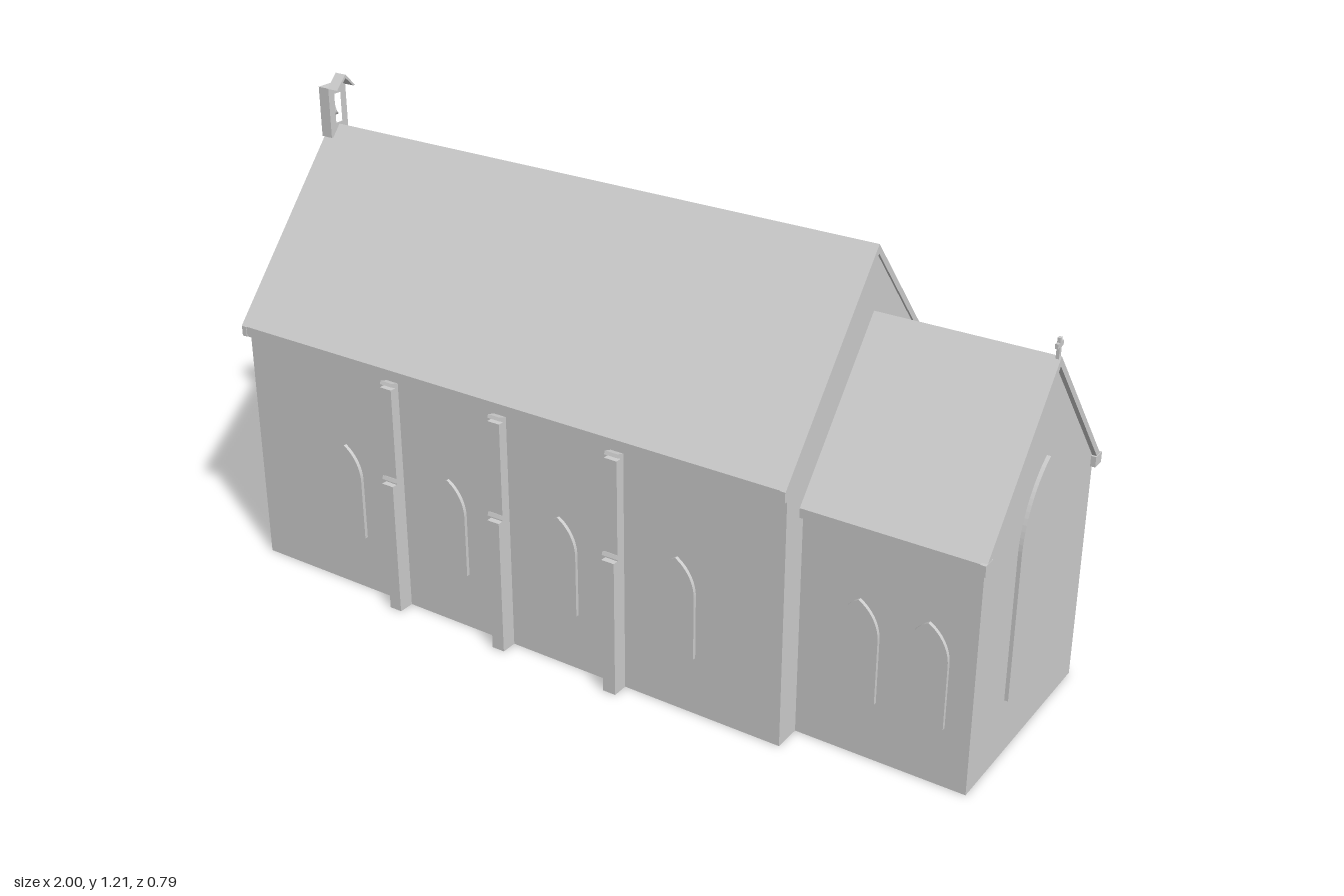
import * as THREE from 'three';

const stone = new THREE.MeshStandardMaterial({ color: 0xcccccc });
stone.name = 'paleStone';

function add(parent, geometry, name) {
  const mesh = new THREE.Mesh(geometry, stone);
  mesh.name = name;
  parent.add(mesh);
  return mesh;
}

// Extrudes a (z, y) profile along x from x0 to x1
function extrudeX(points, x0, x1, hole) {
  const shape = new THREE.Shape(points.map(([z, y]) => new THREE.Vector2(-z, y)));
  if (hole) shape.holes.push(new THREE.Path(hole.map(([z, y]) => new THREE.Vector2(-z, y))));
  const g = new THREE.ExtrudeGeometry(shape, { depth: x1 - x0, bevelEnabled: false });
  return g.rotateY(Math.PI / 2).translate(x0, 0, 0);
}

const mirrorProfile = (half) => [...half, ...half.slice().reverse().filter(([z]) => z !== 0).map(([z, y]) => [-z, y])];

// Pointed-arch panel facing +z, standing slightly proud of its wall
function lancet(width, bottom, spring) {
  const r = width, h = width / 2;
  const s = new THREE.Shape();
  s.moveTo(-h, bottom);
  s.lineTo(h, bottom);
  s.lineTo(h, spring);
  s.absarc(-h, spring, r, 0, Math.PI / 3, false);
  s.absarc(h, spring, r, Math.PI * 2 / 3, Math.PI, false);
  s.closePath();
  return new THREE.ExtrudeGeometry(s, { depth: 0.009, bevelEnabled: false, curveSegments: 8 });
}

// Gabled hall: walls, roof slab with fascia, and kneeler blocks on the open gables
function hall(name, d) {
  const group = new THREE.Group();
  group.name = name;
  const t = 0.022;
  add(group, extrudeX(mirrorProfile([[d.wall, 0], [d.wall, d.eave], [0, d.ridge - t]]), d.x0, d.x1), name + 'Walls');
  const profile = [
    [d.roof, d.foot], [d.roof, d.eave], [0, d.ridge], [-d.roof, d.eave], [-d.roof, d.foot],
    [-d.wall, d.foot], [-d.wall, d.eave - 0.003], [0, d.ridge - t], [d.wall, d.eave - 0.003], [d.wall, d.foot],
  ];
  add(group, extrudeX(profile, d.r0, d.r1), name + 'Roof');
  for (const x of d.kneelers) for (const side of [-1, 1]) {
    add(group, new THREE.BoxGeometry(0.014, 0.026, d.kneelerWidth), 'kneeler')
      .position.set(x, d.foot + 0.013, side * d.kneelerZ);
  }
  return group;
}

export function createModel() {
  const church = new THREE.Group();
  church.name = 'church';

  church.add(hall('nave', {
    x0: -0.985, x1: 0.565, r0: -0.997, r1: 0.57, wall: 0.352, roof: 0.368,
    eave: 0.648, foot: 0.622, ridge: 1.08, kneelers: [-0.988, 0.563], kneelerZ: 0.361, kneelerWidth: 0.018,
  }));
  church.add(hall('chancel', {
    x0: 0.56, x1: 0.985, r0: 0.56, r1: 0.996, wall: 0.281, roof: 0.297,
    eave: 0.577, foot: 0.554, ridge: 0.926, kneelers: [0.99], kneelerZ: 0.287, kneelerWidth: 0.034,
  }));

  // Long sides: windows and stepped buttresses, the same on both
  const naveWindows = [-0.687, -0.359, -0.032, 0.292];
  const chancelWindows = [0.711, 0.875];
  const buttresses = [-0.52, -0.195, 0.132];
  for (const side of [1, -1]) {
    const turn = side > 0 ? 0 : Math.PI;
    const placeWindow = (x, z) => {
      const w = add(church, lancet(0.1, 0.15, 0.311), 'sideWindow');
      w.position.set(x, 0, side * z);
      w.rotation.y = turn;
    };
    naveWindows.forEach((x) => placeWindow(x, 0.352));
    chancelWindows.forEach((x) => placeWindow(x, 0.281));

    for (const x of buttresses) {
      const b = new THREE.Group();
      b.name = 'buttress';
      const w = 0.017;
      add(b, extrudeX([[0.35, 0], [0.393, 0], [0.393, 0.35], [0.378, 0.35], [0.378, 0.602], [0.35, 0.602]], -w, w), 'buttressShaft');
      // Small tilted weathering stones above each stage
      add(b, extrudeX([[0.375, 0.351], [0.391, 0.362], [0.388, 0.371], [0.375, 0.364]], -w, w), 'lowerWeathering');
      add(b, extrudeX([[0.35, 0.602], [0.362, 0.602], [0.377, 0.61], [0.374, 0.618], [0.35, 0.61]], -w, w), 'upperWeathering');
      b.position.x = x;
      b.rotation.y = turn;
      church.add(b);
    }
  }

  // End windows
  const east = add(church, lancet(0.222, 0.146, 0.505), 'eastWindow');
  east.position.x = 0.985;
  east.rotation.y = Math.PI / 2;
  for (const [bottom, spring] of [[0.045, 0.17], [0.295, 0.485]]) {
    const west = add(church, lancet(0.125, bottom, spring), 'westWindow');
    west.position.x = -0.985;
    west.rotation.y = -Math.PI / 2;
  }

  // Gable cross
  const cross = new THREE.Group();
  cross.name = 'gableCross';
  add(cross, new THREE.BoxGeometry(0.007, 0.05, 0.01), 'crossUpright').position.y = 0.942;
  add(cross, new THREE.BoxGeometry(0.007, 0.011, 0.029), 'crossArm').position.y = 0.951;
  cross.position.x = 0.988;
  church.add(cross);

  // Bell turret with an opening, a bell and a small offset cap
  const turret = new THREE.Group();
  turret.name = 'bellTurret';
  add(turret, extrudeX(
    [[0.031, 1.05], [0.031, 1.178], [-0.031, 1.178], [-0.031, 1.05]], -1, -0.968,
    [[0.011, 1.085], [0.011, 1.16], [-0.011, 1.16], [-0.011, 1.085]]), 'turretBody');
  add(turret, extrudeX(
    [[0.033, 1.178], [0, 1.212], [-0.033, 1.178], [-0.026, 1.178], [0, 1.203], [0.026, 1.178]], -0.968, -0.936), 'turretCap');
  const bell = [[0, 0.022], [0.005, 0.021], [0.007, 0.008], [0.011, 0]].reverse()
    .map(([r, y]) => new THREE.Vector2(r, y));
  add(turret, new THREE.LatheGeometry([new THREE.Vector2(0, 0), ...bell], 12), 'bell').position.set(-0.984, 1.104, 0);
  add(turret, new THREE.BoxGeometry(0.006, 0.036, 0.004), 'bellHanger').position.set(-0.984, 1.143, 0);
  church.add(turret);

  return church;
}
